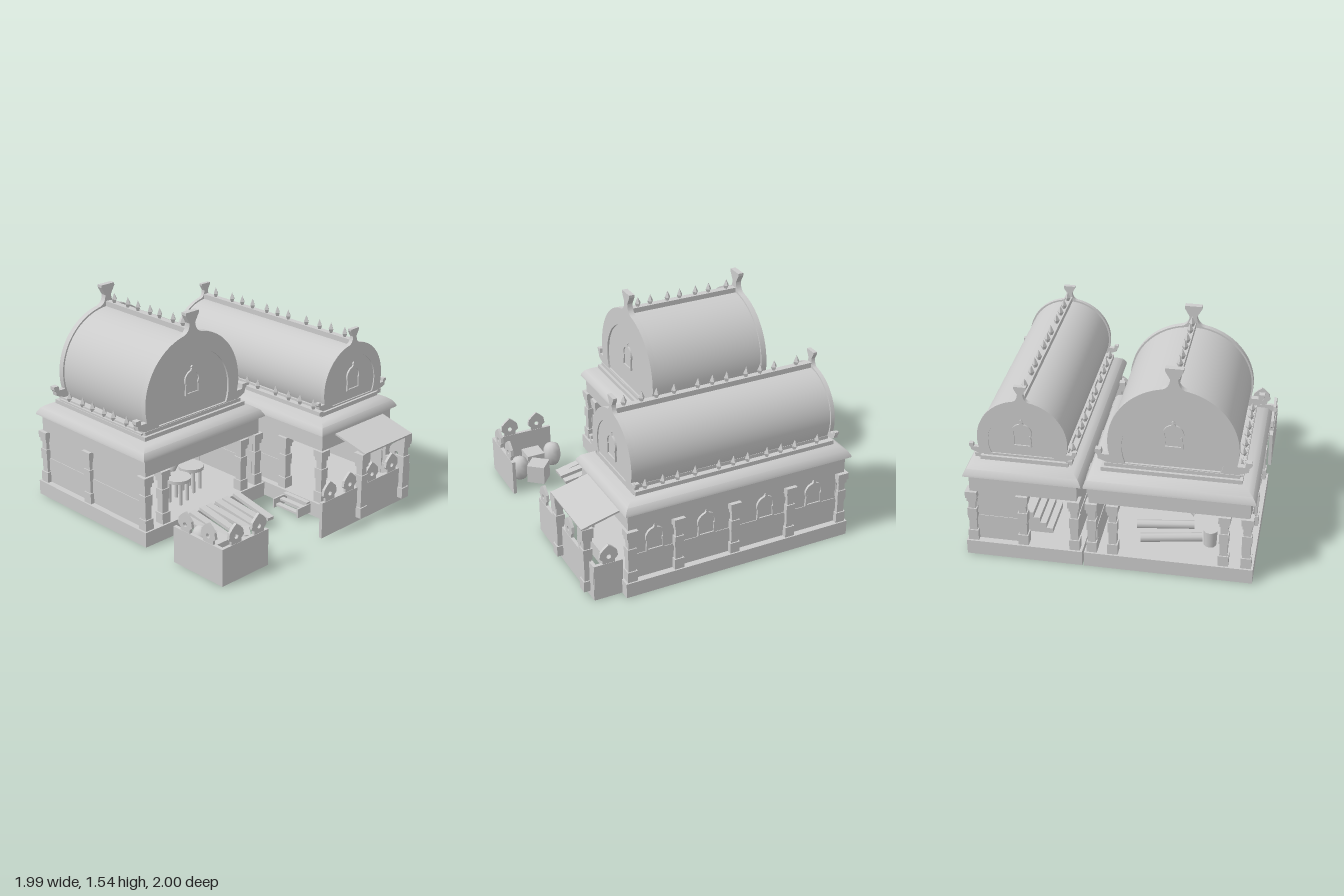
import * as THREE from 'three';
import { toCreasedNormals } from 'three/addons/utils/BufferGeometryUtils.js';

const mat = new THREE.MeshStandardMaterial({ color: 0xcccccc, side: THREE.DoubleSide });

function add(parent, name, geo, x = 0, y = 0, z = 0, ry = 0) {
  const m = new THREE.Mesh(geo, mat);
  m.name = name;
  m.position.set(x, y, z);
  m.rotation.y = ry;
  parent.add(m);
  return m;
}
// Box given by its minimum and maximum corners
function block(parent, name, x0, x1, y0, y1, z0, z1) {
  return add(parent, name, new THREE.BoxGeometry(x1 - x0, y1 - y0, z1 - z0), (x0 + x1) / 2, (y0 + y1) / 2, (z0 + z1) / 2);
}
// Four boxes forming a rectangular ring of thickness w
function ring(parent, name, x0, x1, y0, y1, z0, z1, w) {
  for (const z of [z0, z1 - w]) block(parent, name, x0, x1, y0, y1, z, z + w);
  for (const x of [x0, x1 - w]) block(parent, name, x, x + w, y0, y1, z0 + w, z1 - w);
}
// Extrusion centred on its own thickness
function slab(shape, depth) {
  const g = new THREE.ExtrudeGeometry(shape, { depth, bevelEnabled: false, curveSegments: 28 });
  return toCreasedNormals(g.translate(0, 0, -depth / 2), 0.5);
}
// Round pole between two points
function pole(parent, name, a, b, r, r2 = r) {
  const va = new THREE.Vector3(...a), vb = new THREE.Vector3(...b), d = vb.clone().sub(va);
  const m = add(parent, name, new THREE.CylinderGeometry(r2, r, d.length(), 8));
  m.position.copy(va).add(vb).multiplyScalar(0.5);
  m.quaternion.setFromUnitVectors(new THREE.Vector3(0, 1, 0), d.normalize());
}
// Rectangular eave: a profile of [inset, y] swept round four mitred sides
function eaveGeometry(x0, x1, z0, z1, profile) {
  const pos = [], idx = [];
  for (let s = 0; s < 4; s++) {
    const base = pos.length / 3;
    profile.forEach(([i, y]) => {
      const c = [[x0 + i, z1 - i], [x1 - i, z1 - i], [x1 - i, z0 + i], [x0 + i, z0 + i]];
      const a = c[s], b = c[(s + 1) % 4];
      pos.push(a[0], y, a[1], b[0], y, b[1]);
    });
    for (let k = 0; k < profile.length - 1; k++) {
      const p = base + 2 * k;
      idx.push(p, p + 1, p + 3, p, p + 3, p + 2);
    }
  }
  const g = new THREE.BufferGeometry();
  g.setAttribute('position', new THREE.Float32BufferAttribute(pos, 3));
  g.setIndex(idx);
  return toCreasedNormals(g, 0.9);
}

// Column of stacked square blocks
function column(parent, x, z, y0 = 0.11, top = 0.51) {
  const g = new THREE.Group();
  g.name = 'column';
  const tiers = [[0.072, y0, y0 + 0.08], [0.054, y0 + 0.08, 0.29], [0.066, 0.29, 0.37], [0.05, 0.37, 0.43], [0.066, 0.43, 0.46], [0.082, 0.46, top]];
  for (const [w, a, b] of tiers) block(g, 'columnTier', x - w / 2, x + w / 2, a, b, z - w / 2, z + w / 2);
  parent.add(g);
}

// Horseshoe window outline, optionally with a pointed tip; base at y = 0
function windowOutline(path, k, tip) {
  path.moveTo(-0.068 * k, tip ? 0 : 0.012);
  path.lineTo(0.068 * k, tip ? 0 : 0.012);
  path.lineTo(0.062 * k, 0.085);
  path.absarc(0, 0.105, 0.071 * k, -0.3, tip ? 1.35 : Math.PI / 2, false);
  if (tip) [[0.006, 0.19], [0.012, 0.197], [0, 0.21], [-0.012, 0.197], [-0.006, 0.19]].forEach(p => path.lineTo(...p));
  path.absarc(0, 0.105, 0.071 * k, tip ? Math.PI - 1.35 : Math.PI / 2, Math.PI + 0.3, false);
  path.lineTo(-0.062 * k, 0.085);
  return path;
}
function windowAt(parent, x, y, z, ry = 0) {
  const g = new THREE.Group();
  g.name = 'window';
  const frame = windowOutline(new THREE.Shape(), 1, true);
  frame.holes.push(windowOutline(new THREE.Path(), 0.8, false));
  add(g, 'windowFrame', slab(frame, 0.03));
  add(g, 'windowPanel', slab(windowOutline(new THREE.Shape(), 0.82, false), 0.01));
  g.position.set(x, y, z);
  g.rotation.y = ry;
  parent.add(g);
}

// Gable board: horseshoe rim with curled feet, ogee crown and arched opening
function gableRim(R, cy, b, top, r, rcy) {
  const s = R / 0.44, xb = Math.sqrt(R * R - (b - cy) ** 2);
  const a = Math.asin((b + 0.065 * s - cy) / R), t = 1.36, n = new THREE.Shape();
  const foot = [[xb + 0.02 * s, b], [R + 0.03 * s, b + 0.015 * s], [R + 0.065 * s, b + 0.03 * s], [R + 0.07 * s, b + 0.06 * s],
    [R + 0.085 * s, b + 0.075 * s], [R + 0.085 * s, b + 0.1 * s], [R + 0.045 * s, b + 0.1 * s], [R + 0.04 * s, b + 0.065 * s]];
  foot.forEach(([x, y], i) => (i ? n.lineTo(x, y) : n.moveTo(x, y)));
  n.absarc(0, cy, R, a, t, false);
  n.quadraticCurveTo(0.03 * s, cy + R, 0.026 * s, top - 0.08 * s);
  n.lineTo(0.06 * s, top - 0.02 * s);
  n.lineTo(0.06 * s, top);
  n.lineTo(-0.06 * s, top);
  n.lineTo(-0.06 * s, top - 0.02 * s);
  n.lineTo(-0.026 * s, top - 0.08 * s);
  n.quadraticCurveTo(-0.03 * s, cy + R, -R * Math.cos(t), cy + R * Math.sin(t));
  n.absarc(0, cy, R, Math.PI - t, Math.PI - a, false);
  foot.reverse().forEach(([x, y]) => n.lineTo(-x, y));
  n.holes.push(arch(new THREE.Path(), r, rcy, b + 0.01));
  return n;
}
function arch(path, r, cy, b) {
  const a = Math.asin((b - cy) / r);
  path.absarc(0, cy, r, a, Math.PI - a, false);
  path.closePath();
  return path;
}

// Faceted diamond finial
function finial(parent, x, y, z) {
  const pts = [[0.008, 0], [0.023, 0.036], [0, 0.085]].map(p => new THREE.Vector2(...p));
  const g = new THREE.LatheGeometry(pts, 4).toNonIndexed();
  g.computeVertexNormals();
  add(parent, 'roofFinial', g, x, y, z);
}

// Hall shell: hollow plinth, beams, eave, barrel roof, gables and finials
function hall(o) {
  const g = new THREE.Group(), { x0, x1, z0, z1, cx, R, cy, zb, zf } = o;
  g.name = o.name;
  ring(g, 'plinth', x0, x1, 0, 0.11, z0, z1, 0.015);
  block(g, 'floor', x0 + 0.01, x1 - 0.01, 0.095, 0.11, z0 + 0.01, z1 - 0.01);
  ring(g, 'beam', x0 + 0.035, x1 - 0.035, 0.51, 0.64, z0 + 0.03, z1 - 0.03, 0.07);
  block(g, 'ceiling', x0 + 0.04, x1 - 0.04, 0.62, 0.65, z0 + 0.04, z1 - 0.04);
  add(g, 'eave', eaveGeometry(x0, x1, z0, z1, [[0.04, 0.635], [0, 0.64], [0.003, 0.655], [0.025, 0.69], [0.06, 0.715], [0.115, 0.73]]));
  add(g, 'ledge', eaveGeometry(x0, x1, z0, z1, [[0.105, 0.725], [0.105, 0.757], [0.125, 0.757], [0.125, 0.783], [0.16, 0.783]]));
  block(g, 'roofDeck', x0 + 0.13, x1 - 0.13, 0.74, 0.782, z0 + 0.13, z1 - 0.13);
  const drum = slab(arch(new THREE.Shape(), R - 0.012, cy, 0.77), zf - zb);
  add(g, 'barrelRoof', drum, cx, 0, (zf + zb) / 2);
  block(g, 'ridgeBeam', cx - 0.022, cx + 0.022, cy + R - 0.03, o.ridge, zb, zf);
  for (const s of [-1, 1]) {
    const z = s > 0 ? zf : zb, fx = cx + s * (R + 0.005);
    add(g, 'gableRim', slab(gableRim(R, cy, 0.78, o.top, o.r, o.rcy), o.t), cx, 0, z);
    add(g, 'gablePanel', slab(arch(new THREE.Shape(), o.r + 0.01, o.rcy, 0.78), 0.012), cx, 0, z);
    windowAt(g, cx, o.winY, z + s * 0.004);
    block(g, 'sideRail', fx - 0.02, fx + 0.02, 0.74, 0.77, zb, zf);
    for (const fz of o.finials) finial(g, fx, 0.76, fz);
  }
  for (const fz of o.finials) finial(g, cx, o.ridge - 0.01, fz);
  return g;
}
// Wall along z with a thicker dado
function sideWall(parent, x, z0, z1) {
  block(parent, 'wall', x - 0.015, x + 0.015, 0.11, 0.52, z0, z1);
  block(parent, 'dado', x - 0.02, x + 0.02, 0.11, 0.3, z0, z1);
}

// Fence with pierced pointed crests; runs along local x
function fence(parent, len, crests, x, z, ry = 0) {
  const g = new THREE.Group();
  g.name = 'fence';
  block(g, 'fencePanel', 0, len, 0, 0.27, -0.0125, 0.0125);
  const s = new THREE.Shape([[-0.045, 0.265], [0.045, 0.265], [0.045, 0.295], [0.068, 0.315], [0.06, 0.36], [0.03, 0.39], [0, 0.413],
    [-0.03, 0.39], [-0.06, 0.36], [-0.068, 0.315], [-0.045, 0.295]].map(p => new THREE.Vector2(...p)));
  s.holes.push(new THREE.Path().absarc(0, 0.32, 0.017, 0, Math.PI * 2));
  for (const c of crests) add(g, 'fenceCrest', slab(s, 0.02), c);
  g.position.set(x, 0, z);
  g.rotation.y = ry;
  parent.add(g);
}

export function createModel() {
  const root = new THREE.Group();
  root.name = 'twinHalls';

  // Wide open hall
  const wide = hall({ name: 'wideHall', x0: -1, x1: 0.162, z0: -1, z1: 0.195, cx: -0.425, R: 0.44, cy: 0.95, zb: -0.85, zf: 0.045, t: 0.042,
    r: 0.345, rcy: 0.915, ridge: 1.415, top: 1.54, winY: 0.94, finials: [-0.76, -0.61, -0.5, -0.37, -0.27, -0.13, -0.03] });
  for (const z of [-0.95, 0.145]) for (const x of [-0.95, -0.795, -0.035, 0.11]) column(wide, x, z);
  for (const s of [-1, 1]) {
    const x = -0.42 + s * 0.53;
    column(wide, x, -0.45);
    sideWall(wide, x - s * 0.015, -0.95, 0.145);
  }
  root.add(wide);

  // Long narrow hall with windows on its outer side
  const long = hall({ name: 'longHall', x0: 0.175, x1: 0.992, z0: -1, z1: 0.742, cx: 0.59, R: 0.31, cy: 0.9, zb: -0.885, zf: 0.64, t: 0.03,
    r: 0.235, rcy: 0.885, ridge: 1.235, top: 1.32, winY: 0.86, finials: [-0.76, -0.58, -0.47, -0.36, -0.21, -0.1, 0.01, 0.19, 0.32, 0.43, 0.56] });
  for (const z of [-0.95, -0.53, -0.09, 0.34, 0.69]) for (const x of [0.23, 0.945]) column(long, x, z);
  column(long, 0.59, -0.95);
  sideWall(long, 0.925, -0.95, 0.69);
  sideWall(long, 0.245, -0.95, 0.34);
  block(long, 'backWall', 0.59, 0.945, 0.11, 0.52, -0.945, -0.915);
  block(long, 'backDado', 0.59, 0.945, 0.11, 0.3, -0.95, -0.91);
  for (const z of [0.51, 0.12, -0.34, -0.73]) windowAt(long, 0.942, 0.305, z, Math.PI / 2);
  for (let i = 0; i < 4; i++) block(long, 'innerStep', 0.42 + i * 0.045, 0.62, 0.11 + i * 0.04, 0.15 + i * 0.04, -0.82, -0.5);
  root.add(long);

  // Porch awning on two posts
  const awning = add(root, 'awning', new THREE.BoxGeometry(0.52, 0.014, 0.285), 0.595, 0.572, 0.862);
  awning.rotation.x = 0.25;
  for (const x of [0.355, 0.82]) column(root, x, 0.957, 0.04, 0.535);
  block(root, 'awningBeam', 0.34, 0.855, 0.515, 0.54, 0.945, 0.97);

  // Yard fences
  fence(root, 0.425, [0.13, 0.34], -1, 0.935);
  fence(root, 0.46, [0.13, 0.35], -0.987, 0.94, Math.PI / 2);
  fence(root, 0.955, [0.08, 0.29, 0.53, 0.75], -0.04, 0.935);
  fence(root, 0.21, [0.11], 0.908, 0.945, Math.PI / 2);

  // Side steps
  for (let i = 0; i < 3; i++) block(root, 'sideStep', 0.06 + i * 0.04, 0.1 + i * 0.04, 0.03 + i * 0.03, 0.045 + i * 0.03, 0.41, 0.64);
  for (const z of [0.4, 0.635]) block(root, 'stepCheek', 0.04, 0.18, 0.02, 0.09, z, z + 0.013);

  // Sloping ramp planks
  const near = [-0.655, -0.57, -0.47, -0.41, -0.32, -0.25, -0.14], far = [-0.62, -0.57, -0.48, -0.38, -0.31, -0.23, -0.16];
  near.forEach((x, i) => {
    const p = add(root, 'rampPlank', new THREE.BoxGeometry(0.055, 0.025, 0.38), (x + far[i]) / 2, 0.09, 0.385);
    p.rotation.set(0.16, Math.atan2(far[i] - x, 0.37), 0, 'YXZ');
  });

  // Barrels and crates in the yard
  const prof = [[0, 0], [0.045, 0], [0.062, 0.04], [0.069, 0.08], [0.065, 0.12], [0.05, 0.155], [0.025, 0.17], [0, 0.172]].map(p => new THREE.Vector2(...p));
  for (const [x, z] of [[-0.8, 0.54], [-0.71, 0.84]]) add(root, 'barrel', new THREE.LatheGeometry(prof, 10), x, 0.05, z);
  add(root, 'crate', new THREE.BoxGeometry(0.135, 0.14, 0.135), -0.8, 0.12, 0.695);
  add(root, 'crate', new THREE.BoxGeometry(0.135, 0.14, 0.135), -0.62, 0.12, 0.725, -0.7);

  // Workshop: round tables, leaning logs and a tub
  for (const [x, z] of [[-0.5, -0.02], [-0.3, -0.1]]) {
    add(root, 'tableTop', new THREE.CylinderGeometry(0.095, 0.095, 0.025, 12), x, 0.29, z);
    for (let k = 0; k < 4; k++) {
      const c = 0.065 * Math.cos(k * Math.PI / 2 + 0.5), s = 0.065 * Math.sin(k * Math.PI / 2 + 0.5);
      pole(root, 'tableLeg', [x + c, 0.11, z + s], [x + c, 0.28, z + s], 0.013);
    }
  }
  pole(root, 'log', [-0.55, 0.18, -0.5], [-0.27, 0.35, -0.4], 0.035, 0.015);
  pole(root, 'log', [-0.36, 0.14, -0.35], [-0.46, 0.36, -0.25], 0.035, 0.015);
  pole(root, 'log', [-0.24, 0.13, -0.4], [-0.16, 0.36, -0.3], 0.035, 0.015);
  pole(root, 'log', [-0.62, 0.14, -0.72], [-0.2, 0.14, -0.8], 0.032);
  pole(root, 'log', [-0.55, 0.15, -0.6], [-0.15, 0.15, -0.66], 0.03);
  pole(root, 'beamPole', [-0.6, 0.31, -0.3], [-0.1, 0.3, -0.45], 0.018);
  add(root, 'tub', new THREE.CylinderGeometry(0.05, 0.045, 0.12, 10), -0.68, 0.17, -0.75);
  return root;
}
